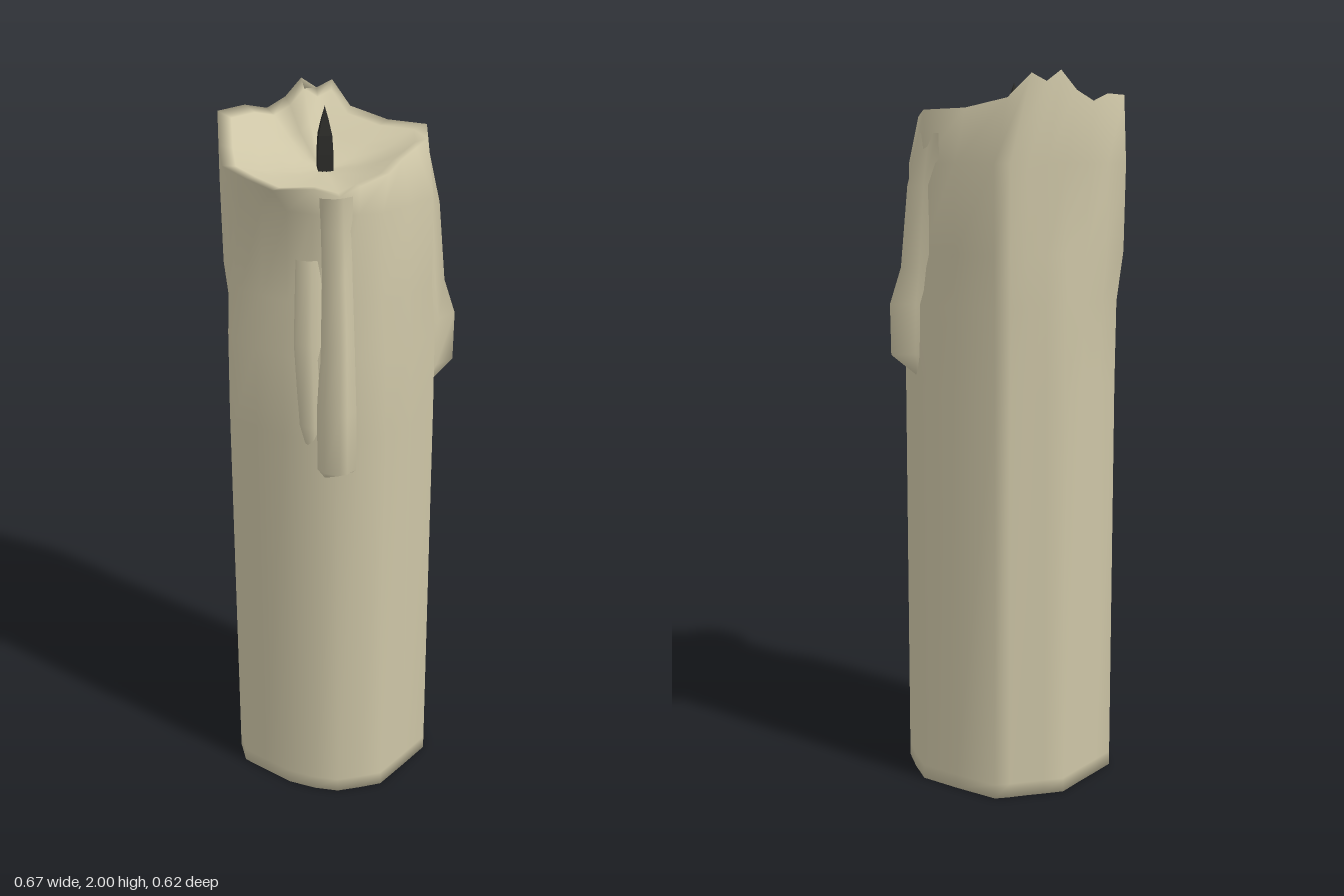
import * as THREE from 'three';

const CX = -0.035, CZ = -0.015, FLOOR = 1.81;

// One row per column of the candle wall: base x, z, then rim x, y, z, then neck scale
const columns = [
  [0.265, -0.01, 0.272, 1.90, -0.055],
  [0.243, 0.08, 0.235, 1.885, 0.04],
  [0.215, 0.165, 0.17, 1.88, 0.11],
  [0.12, 0.225, 0.11, 1.87, 0.165],
  [0.022, 0.285, 0.05, 1.85, 0.22, 0.92],
  [-0.045, 0.28, -0.03, 1.825, 0.225, 0.9],
  [-0.11, 0.272, -0.1, 1.815, 0.265, 0.9],
  [-0.17, 0.235, -0.15, 1.825, 0.21, 0.87],
  [-0.23, 0.18, -0.255, 1.83, 0.2, 0.86],
  [-0.28, 0.1, -0.3, 1.845, 0.12, 0.87],
  [-0.322, 0.03, -0.335, 1.86, 0.035, 0.88],
  [-0.312, -0.05, -0.315, 1.89, -0.06, 0.9],
  [-0.285, -0.13, -0.295, 1.91, -0.13, 0.98],
  [-0.25, -0.215, -0.272, 1.945, -0.212, 1.08],
  [-0.18, -0.242, -0.18, 1.945, -0.262, 1.06],
  [-0.1, -0.272, -0.1, 1.92, -0.314, 1.04],
  [-0.025, -0.302, -0.05, 1.95, -0.302, 0.97],
  [0.03, -0.285, -0.005, 2.0, -0.295, 1],
  [0.08, -0.268, 0.04, 1.97, -0.295, 1.03],
  [0.125, -0.255, 0.085, 1.99, -0.292, 1.07],
  [0.165, -0.24, 0.11, 1.93, -0.215, 1.03],
  [0.22, -0.12, 0.185, 1.905, -0.125, 0.98],
];

// Joins rings of points; each ring runs from +x towards +z, listed bottom to top
function skin(rings, closed = true) {
  const n = rings[0].length, index = [];
  const span = closed ? n : n - 1;
  for (let r = 0; r < rings.length - 1; r++) {
    for (let i = 0; i < span; i++) {
      const a = r * n + i, b = r * n + (i + 1) % n;
      index.push(a, a + n, b, b, a + n, b + n);
    }
  }
  const g = new THREE.BufferGeometry();
  g.setAttribute('position', new THREE.Float32BufferAttribute(rings.flat(2), 3));
  g.setIndex(index);
  g.computeVertexNormals();
  return g;
}

// Drip outlines: [sideways, outward]
const ROUND = [[-1, -0.4], [-0.85, 0.5], [-0.2, 1], [0.2, 1], [0.85, 0.35], [1, -0.4]];
const SHARP = [[-1, -0.4], [-0.45, 0.25], [0, 1], [0.45, 0.25], [1, -0.4]];

// A drip of wax: sections [x, y, z, half width, bulge], facing the given angle
function drip(sections, angle, outline) {
  const ox = Math.cos(angle), oz = Math.sin(angle);
  return skin(sections.map(([x, y, z, w, d]) => outline.map(([s, o]) =>
    [x - oz * s * w + ox * o * d, y, z + ox * s * w + oz * o * d])), false);
}

export function createModel() {
  const group = new THREE.Group();
  const wax = new THREE.MeshStandardMaterial({ color: 0xcdc5a6 });
  wax.name = 'cream wax';
  wax.side = THREE.DoubleSide;
  const char = new THREE.MeshStandardMaterial({ color: 0x2c2c29 });
  char.name = 'charred wick';
  char.flatShading = true;

  const add = (name, geometry, material) => {
    const mesh = new THREE.Mesh(geometry, material);
    mesh.name = name;
    group.add(mesh);
  };

  // Wall: straight shaft, reshaped neck, uneven rim
  const wallRing = (y, neck) => columns.map(([x, z, , , , s = 0.95]) => {
    const k = 1 + (s - 1) * neck;
    return [CX + (x - CX) * k, y, CZ + (z - CZ) * k];
  });
  const rim = columns.map(([, , x, y, z]) => [x, y, z]);

  // Underside and melted pool: rings shrinking towards the middle
  const baseRing = (t) => columns.map(([x, z]) => [CX + (x - CX) * t, 0, CZ + (z - CZ) * t]);
  const poolRing = (t, h) => rim.map(([x, y, z]) =>
    [CX + (x - CX) * t, FLOOR + (y - FLOOR) * h, CZ + (z - CZ) * t]);

  add('candleBody', skin([
    baseRing(0.001), baseRing(0.85), baseRing(1),
    wallRing(0.04, 0), wallRing(1.15, 0), wallRing(1.38, 0.1),
    wallRing(1.52, 0.85), wallRing(1.76, 1), rim,
    poolRing(0.87, 0.88), poolRing(0.62, 0.45), poolRing(0.3, 0.12), poolRing(0.001, 0),
  ]), wax);

  // Long run of wax below the front spout
  add('frontDrip', drip([
    [-0.105, 1.05, 0.268, 0.04, 0.005],
    [-0.107, 1.07, 0.268, 0.052, 0.043],
    [-0.107, 1.24, 0.266, 0.052, 0.045],
    [-0.1, 1.42, 0.255, 0.044, 0.037],
    [-0.095, 1.6, 0.238, 0.04, 0.028],
    [-0.095, 1.72, 0.235, 0.042, 0.022],
    [-0.1, 1.81, 0.245, 0.045, 0.018],
  ], Math.PI / 2, ROUND), wax);

  // Small second run beside it
  add('smallFrontDrip', drip([
    [-0.165, 1.12, 0.228, 0.016, 0.003],
    [-0.165, 1.19, 0.228, 0.035, 0.018],
    [-0.17, 1.42, 0.222, 0.04, 0.014],
    [-0.16, 1.64, 0.2, 0.035, 0.01],
  ], 1.95, ROUND), wax);

  // Sharp fin of wax on the side
  add('sideDrip', drip([
    [0.25, 1.18, 0.03, 0.03, 0.006],
    [0.25, 1.24, 0.03, 0.065, 0.081],
    [0.25, 1.38, 0.03, 0.075, 0.083],
    [0.248, 1.48, 0.025, 0.075, 0.053],
    [0.24, 1.7, 0.015, 0.07, 0.044],
    [0.24, 1.84, -0.01, 0.06, 0.02],
  ], 0.05, SHARP), wax);

  // Burnt wick
  const profile = [[0.028, 0], [0.029, 0.06], [0.025, 0.11], [0.013, 0.15], [0, 0.185]]
    .map(([r, y]) => new THREE.Vector2(r, y));
  const wick = new THREE.LatheGeometry(profile, 4);
  wick.rotateY(0.55);
  wick.translate(-0.037, 1.795, -0.017);
  add('wick', wick, char);

  return group;
}
